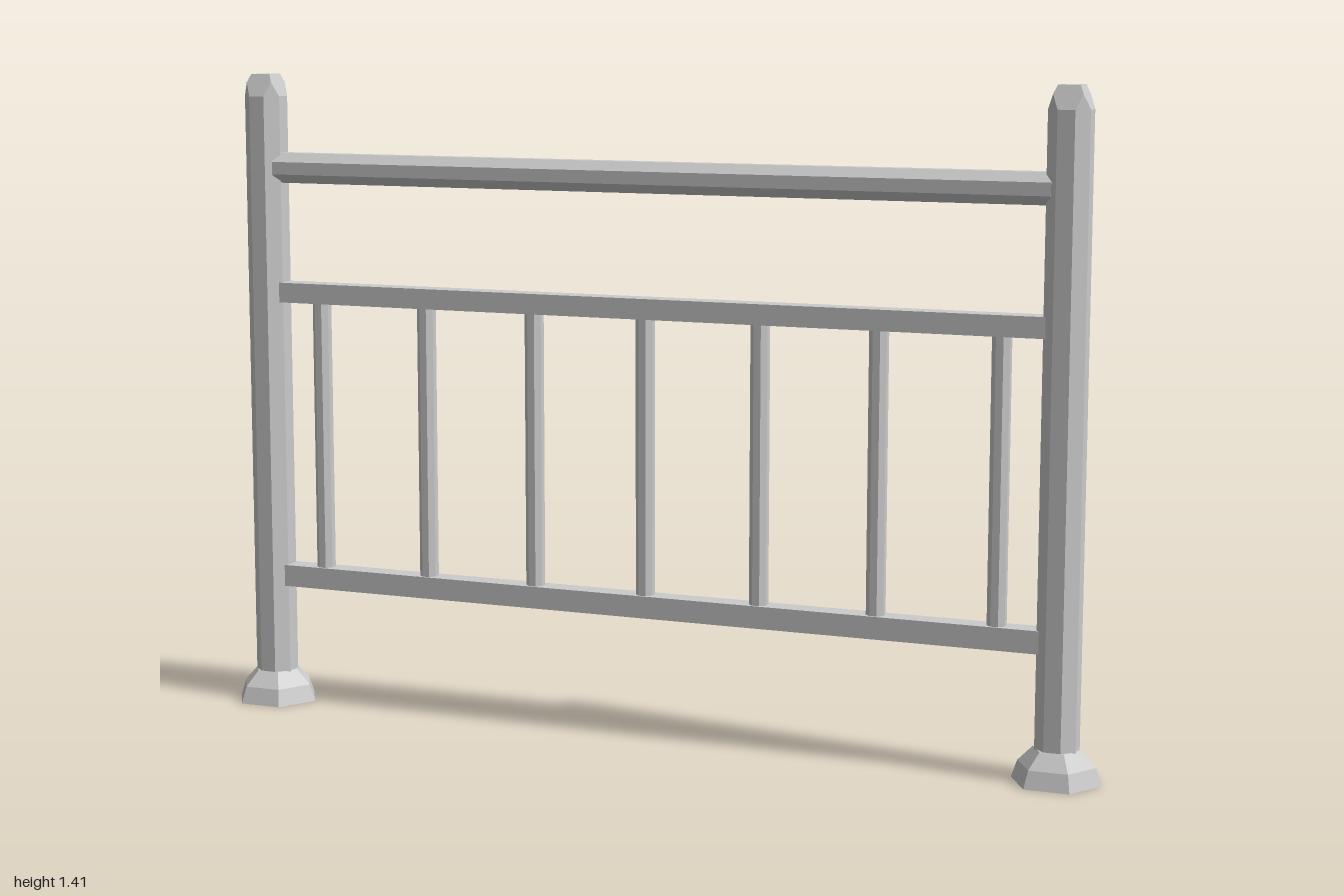
import * as THREE from 'three';
import { ConvexGeometry } from 'three/addons/geometries/ConvexGeometry.js';

const material = new THREE.MeshStandardMaterial({ color: 0xcccccc, flatShading: true });
const openMaterial = new THREE.MeshStandardMaterial({ color: 0xcccccc, flatShading: true, side: THREE.DoubleSide });

const POST_X = 0.905;

function addMesh(parent, name, geometry, x, y, z, mat = material) {
  const mesh = new THREE.Mesh(geometry, mat);
  mesh.name = name;
  mesh.position.set(x, y, z);
  parent.add(mesh);
  return mesh;
}

// Octagonal bar along y with flat sides facing x and z
function octagonBar(halfWidth, length) {
  const radius = halfWidth / Math.cos(Math.PI / 8);
  return new THREE.CylinderGeometry(radius, radius, length, 8).rotateY(Math.PI / 8);
}

// Octagonal post whose top is cut by four sloping planes to a small square
function postGeometry(halfWidth, bottom, shoulder, top, topHalf) {
  const points = [];
  const radius = halfWidth / Math.cos(Math.PI / 8);
  for (let i = 0; i < 8; i++) {
    const a = (i + 0.5) * Math.PI / 4;
    for (const y of [bottom, shoulder]) {
      points.push(new THREE.Vector3(radius * Math.cos(a), y, radius * Math.sin(a)));
    }
  }
  const mid = halfWidth * Math.SQRT1_2;
  const peak = shoulder + (top - shoulder) * (halfWidth - mid) / (halfWidth - topHalf);
  for (const sx of [-1, 1]) {
    for (const sz of [-1, 1]) {
      points.push(new THREE.Vector3(sx * mid, peak, sz * mid));
      points.push(new THREE.Vector3(sx * topHalf, top, sz * topHalf));
    }
  }
  return new ConvexGeometry(points);
}

// Hollow six-sided foot with its corners along x
function footGeometry() {
  const profile = [[0.095, 0], [0.082, 0.037], [0.05, 0.07], [0, 0.07]];
  const geometry = new THREE.LatheGeometry(profile.map(([r, y]) => new THREE.Vector2(r, y)), 6);
  return geometry.rotateY(Math.PI / 6);
}

export function createModel() {
  const railing = new THREE.Group();
  railing.name = 'railing';

  // End posts with feet
  const post = postGeometry(0.043, 0.06, 1.365, 1.413, 0.023);
  const foot = footGeometry();
  for (const [side, s] of [['left', 1], ['right', -1]]) {
    addMesh(railing, side + 'Post', post, s * POST_X, 0, 0);
    addMesh(railing, side + 'Foot', foot, s * POST_X, 0, 0, openMaterial);
  }

  // Octagonal handrail
  addMesh(railing, 'handrail', octagonBar(0.033, 1.75).rotateZ(Math.PI / 2), 0, 1.208, 0);

  // Flat rails holding the balusters
  addMesh(railing, 'upperRail', new THREE.BoxGeometry(1.74, 0.044, 0.048), 0, 0.932, 0);
  addMesh(railing, 'lowerRail', new THREE.BoxGeometry(1.74, 0.048, 0.048), 0, 0.291, 0);

  // Balusters
  const balusters = new THREE.Group();
  balusters.name = 'balusters';
  railing.add(balusters);
  const bar = octagonBar(0.019, 0.61);
  for (let i = -3; i <= 3; i++) {
    addMesh(balusters, 'baluster', bar, i * 0.258, 0.612, 0);
  }

  return railing;
}
